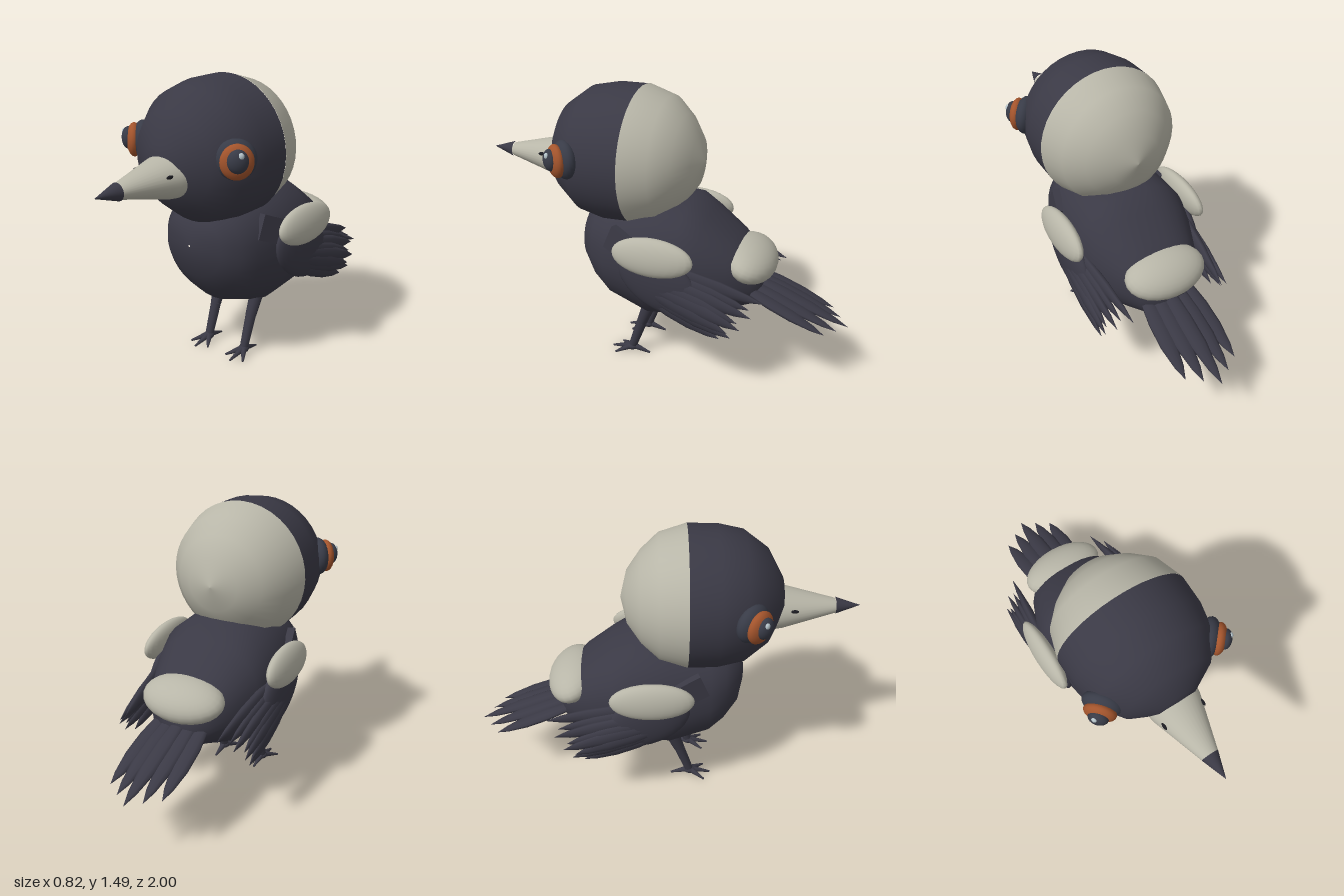
import * as THREE from 'three';

const mat = (name, color) => {
  const m = new THREE.MeshStandardMaterial({ color });
  m.name = name;
  return m;
};
const V = (x, y, z) => new THREE.Vector3(x, y, z);

export function createModel() {
  const bird = new THREE.Group();
  bird.name = 'bird';
  const plumage = mat('dark plumage', 0x3a3945);
  const pale = mat('pale grey', 0xb8b6a8);
  const orange = mat('orange iris', 0xa3542c);
  const slate = mat('slate eye', 0x383b47);
  const shine = mat('eye shine', 0xb4c2c8);
  const black = mat('nostril black', 0x1b1b21);

  const add = (name, geo, material, parent = bird) => {
    const m = new THREE.Mesh(geo, material);
    m.name = name;
    parent.add(m);
    return m;
  };
  const ellipsoid = (name, material, pos, size, parent = bird) => {
    const m = add(name, new THREE.SphereGeometry(1, 24, 16), material, parent);
    m.position.copy(pos);
    m.scale.copy(size);
    return m;
  };
  // Lathe whose axis runs along +z; points are [z, radius] with z rising
  const latheZ = (pts, seg = 32) =>
    new THREE.LatheGeometry(pts.map(([z, r]) => new THREE.Vector2(r, z)), seg).rotateX(Math.PI / 2);
  // Tapered limb between two points
  const limb = (name, a, b, ra, rb, parent) => {
    const d = b.clone().sub(a);
    const m = add(name, new THREE.CylinderGeometry(rb, ra, d.length(), 10), plumage, parent);
    m.position.copy(a).addScaledVector(d, 0.5);
    m.quaternion.setFromUnitVectors(V(0, 1, 0), d.normalize());
    return m;
  };
  // Flat pointed feather from root to tip, thin along the given direction
  const featherGeo = new THREE.LatheGeometry(
    [[0, 0], [0.7, 0.12], [1, 0.4], [0.92, 0.65], [0.5, 0.87], [0, 1]].map(p => new THREE.Vector2(...p)), 10);
  const feather = (name, a, b, width, thick, thin, parent) => {
    const m = add(name, featherGeo, plumage, parent);
    const y = b.clone().sub(a), len = y.length();
    y.normalize();
    const x = y.clone().cross(thin).normalize();
    const z = x.clone().cross(y);
    m.quaternion.setFromRotationMatrix(new THREE.Matrix4().makeBasis(x, y, z));
    m.position.copy(a);
    m.scale.set(width, len, thick);
    return m;
  };

  // Body: cross-sections [z, top, bottom, half width] from breast to rump
  const stations = [
    [0.422, 0.675, 0.665, 0.005], [0.42, 0.75, 0.61, 0.08], [0.39, 0.82, 0.5, 0.18],
    [0.32, 0.87, 0.4, 0.25], [0.24, 0.9, 0.325, 0.29], [0.035, 0.95, 0.25, 0.325],
    [-0.16, 0.935, 0.28, 0.325], [-0.26, 0.87, 0.3, 0.3], [-0.4, 0.77, 0.36, 0.24],
    [-0.51, 0.66, 0.4, 0.16], [-0.55, 0.57, 0.43, 0.07], [-0.552, 0.505, 0.495, 0.005],
  ];
  const N = 32, pos = [], idx = [];
  stations.forEach(([z, top, bot, rx], i) => {
    for (let j = 0; j < N; j++) {
      const a = (j / N) * Math.PI * 2, c = Math.cos(a), s = Math.sin(a);
      const k = s > 0 ? 0.85 : 1; // fuller shoulders
      pos.push(rx * Math.sign(c) * Math.abs(c) ** k,
        (top + bot) / 2 + ((top - bot) / 2) * Math.sign(s) * Math.abs(s) ** k, z);
      if (i < stations.length - 1) {
        const p = i * N + j, q = i * N + ((j + 1) % N);
        idx.push(p, p + N, q + N, p, q + N, q);
      }
    }
  });
  const bodyGeo = new THREE.BufferGeometry();
  bodyGeo.setAttribute('position', new THREE.Float32BufferAttribute(pos, 3));
  bodyGeo.setIndex(idx);
  bodyGeo.computeVertexNormals();
  add('body', bodyGeo, plumage);

  // Rump patch
  const rump = ellipsoid('rumpPatch', pale, V(0, 0.64, -0.475), V(0.22, 0.095, 0.14));
  rump.rotation.x = -0.4;

  // Head: dark face and pale nape
  const face = [[0.12, 0.36], [0.27, 0.358], [0.4, 0.33], [0.52, 0.24], [0.595, 0.1], [0.605, 0]];
  const nape = [[-0.212, 0], [-0.18, 0.135], [-0.11, 0.235], [-0.02, 0.318], [0.12, 0.361]];
  add('face', latheZ(face, 40), plumage).position.y = 1.127;
  add('napePatch', latheZ(nape, 40), pale).position.y = 1.127;

  // Beak
  const beak = add('beak', latheZ([[0.54, 0.14], [0.6, 0.13], [0.87, 0.045]]), pale);
  const tip = add('beakTip', latheZ([[0.87, 0.045], [1, 0]]), plumage);
  for (const m of [beak, tip]) {
    m.scale.y = 0.78;
    m.position.y = 1.062;
  }
  tip.scale.y = 0.95;

  // Tail fan
  for (let i = -2; i <= 2; i++) {
    const k = Math.abs(i);
    feather('tailFeather', V(i * 0.055, 0.56 - k * 0.01, -0.42),
      V(i * 0.072, 0.33 + k * 0.008, -1 + k * 0.05), 0.047, 0.022, V(0, 1, 0));
  }

  for (const s of [-1, 1]) {
    const side = s > 0 ? 'left' : 'right';

    // Eye: stacked flattened domes facing outward and forward
    const eye = new THREE.Group();
    eye.name = side + 'Eye';
    eye.position.set(s * 0.297, 1.163, 0.418);
    eye.rotation.y = s * 0.83;
    bird.add(eye);
    ellipsoid('eyeSocket', slate, V(0, 0, 0), V(0.1, 0.098, 0.055), eye);
    ellipsoid('iris', orange, V(0, 0, 0.045), V(0.08, 0.085, 0.04), eye);
    ellipsoid('pupil', slate, V(0, 0.01, 0.075), V(0.05, 0.056, 0.033), eye);
    ellipsoid('eyeShine', shine, V(s * 0.012, 0.038, 0.095), V(0.015, 0.017, 0.012), eye);

    // Nostril
    ellipsoid(side + 'Nostril', black, V(s * 0.108, 1.097, 0.65), V(0.008, 0.009, 0.02));

    // Wing
    const wing = new THREE.Group();
    wing.name = side + 'Wing';
    bird.add(wing);
    const front = add('wingFront', new THREE.BoxGeometry(0.04, 0.13, 0.14), plumage, wing);
    front.position.set(s * 0.285, 0.745, 0.14);
    front.rotation.set(-0.4, -s * 0.25, 0);
    const covert = ellipsoid('wingCovert', plumage, V(s * 0.325, 0.585, -0.08), V(0.05, 0.15, 0.23), wing);
    covert.rotation.x = -0.5;
    const shoulder = ellipsoid('shoulderPatch', pale, V(s * 0.357, 0.735, -0.06), V(0.05, 0.1, 0.213), wing);
    shoulder.rotation.z = s * 0.15;
    const count = 8;
    for (let i = 0; i < count; i++) {
      const t = i / (count - 1);
      const out = 0.26 + 0.11 * Math.sin(t * 2.2);
      feather('wingFeather', V(s * (0.33 + 0.02 * Math.sin(t * 3)), 0.69 - 0.16 * t, 0.03),
        V(s * out, 0.53 - 0.19 * t, -0.61 + 0.155 * t + (i % 2) * 0.04), 0.045, 0.024, V(s, 0, 0), wing);
    }

    // Leg and toes
    const leg = new THREE.Group();
    leg.name = side + 'Leg';
    bird.add(leg);
    const x = s * 0.123, ankle = V(x, 0.032, 0.148);
    limb('thigh', V(x + s * 0.005, 0.33, 0.04), V(x, 0.2, 0.09), 0.038, 0.029, leg);
    limb('shin', V(x, 0.2, 0.09), ankle, 0.029, 0.023, leg);
    ellipsoid('ankle', plumage, V(x, 0.028, 0.15), V(0.028, 0.022, 0.03), leg);
    for (const [dx, z] of [[-0.06, 0.23], [0, 0.265], [0.06, 0.23], [0, 0.045]])
      limb('toe', ankle, V(x + dx, 0.005, z), 0.019, 0.005, leg);
  }
  return bird;
}
